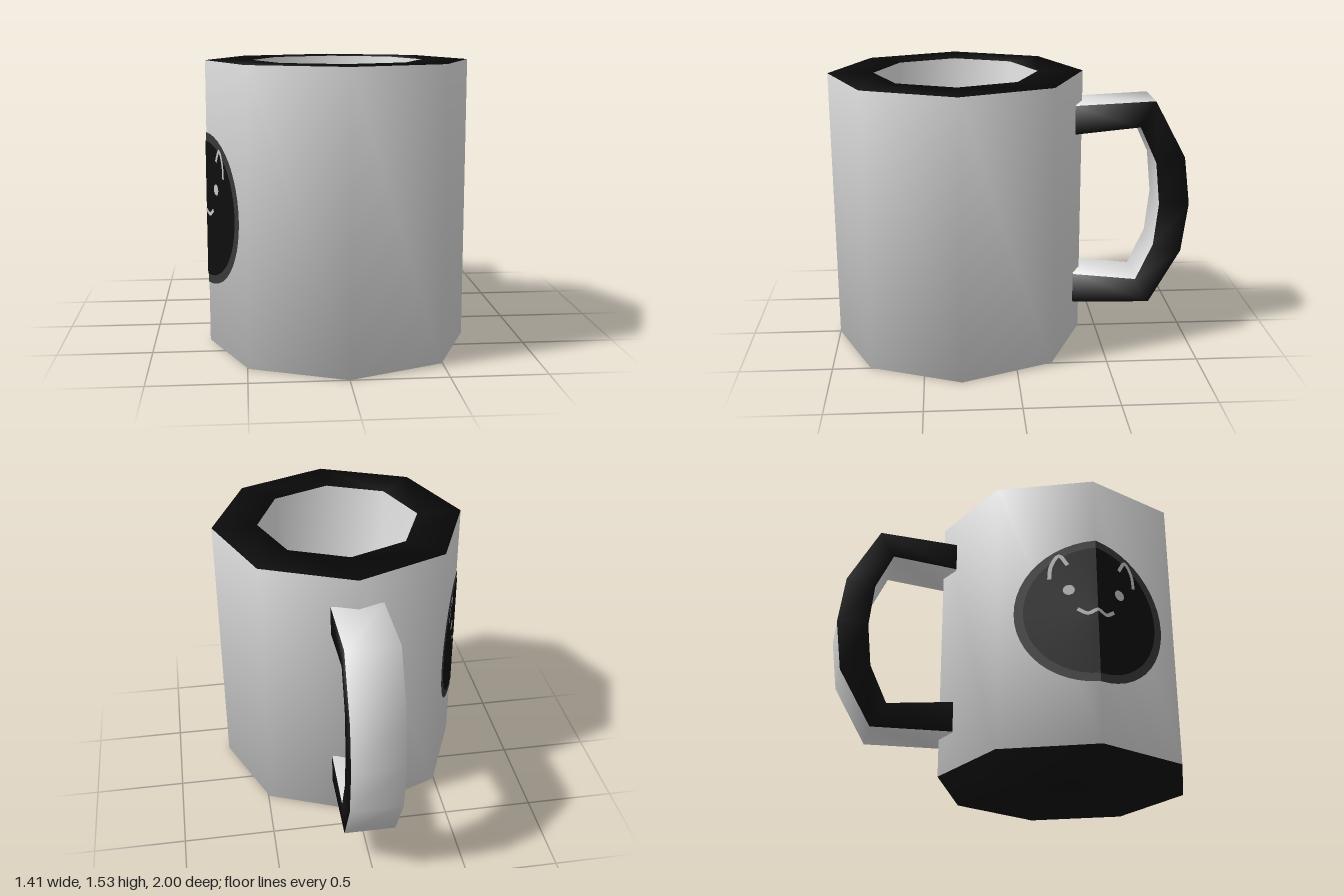
import * as THREE from 'three';

const HEIGHT = 1.53, RADIUS = 0.7, CENTRE_Z = 0.3;

const named = (hex, name) => {
  const m = new THREE.MeshStandardMaterial({ color: hex });
  m.name = name;
  return m;
};

function addMesh(parent, geometry, material, name) {
  const mesh = new THREE.Mesh(geometry, material);
  mesh.name = name;
  parent.add(mesh);
  return mesh;
}

// Eight-sided cup: black base and rim, pale walls and inside
function cupGeometry() {
  const profile = [[0, 0], [RADIUS, 0], [RADIUS, HEIGHT], [0.45, HEIGHT], [0.45, 0.22], [0, 0.22]]
    .map(([x, y]) => new THREE.Vector2(x, y));
  const g = new THREE.LatheGeometry(profile, 8);
  const bands = profile.length - 1;
  for (let i = 0; i < 8 * bands; i++) {
    const band = i % bands;
    g.addGroup(i * 6, 6, band === 0 || band === 2 ? 1 : 0);
  }
  return g;
}

// Angular handle lofted from rectangular sections, with black flanks
function handleGeometry() {
  // outer z, outer y, inner z, inner y
  const sections = [
    [-0.35, 1.36, -0.35, 1.20], [-0.79, 1.38, -0.71, 1.235], [-0.965, 1.06, -0.805, 1.03],
    [-1, 0.79, -0.83, 0.79], [-0.965, 0.51, -0.805, 0.55], [-0.79, 0.20, -0.71, 0.34],
    [-0.35, 0.21, -0.35, 0.38],
  ];
  const w = 0.14, pos = [], index = [];
  const g = new THREE.BufferGeometry();
  for (const [oz, oy, iz, iy] of sections) pos.push(-w, oy, oz, w, oy, oz, w, iy, iz, -w, iy, iz);
  for (let s = 0; s < sections.length - 1; s++) {
    for (let k = 0; k < 4; k++) {
      const a = s * 4 + k, b = s * 4 + (k + 1) % 4, c = b + 4, d = a + 4;
      g.addGroup(index.length, 6, k % 2);
      index.push(a, b, c, a, c, d);
    }
  }
  // end caps against the wall
  const e = (sections.length - 1) * 4;
  g.addGroup(index.length, 12, 1);
  index.push(0, 2, 1, 0, 3, 2, e, e + 1, e + 2, e, e + 2, e + 3);
  g.setAttribute('position', new THREE.Float32BufferAttribute(pos, 3));
  g.setIndex(index);
  g.computeVertexNormals();
  return g;
}

// Fold a flat shape around the cup's side corner
function wrap(g, offset) {
  const p = g.attributes.position;
  for (let i = 0; i < p.count; i++) {
    const u = p.getX(i), v = p.getY(i);
    p.setXYZ(i, -RADIUS - offset + 0.414 * Math.abs(u), v, CENTRE_Z + u);
  }
  g.computeVertexNormals();
  return g;
}

// Flat painted stroke through a few points
function stroke(points, width) {
  const curve = new THREE.CatmullRomCurve3(points.map(([u, v]) => new THREE.Vector3(u, v, 0)));
  const n = 12, g = new THREE.PlaneGeometry(1, 1, n, 1), p = g.attributes.position;
  for (let i = 0; i <= n; i++) {
    const c = curve.getPoint(i / n), t = curve.getTangent(i / n);
    for (const [row, side] of [[0, 1], [1, -1]]) {
      const k = side * width / 2;
      p.setXY(row * (n + 1) + i, c.x - t.y * k, c.y + t.x * k);
    }
  }
  return g;
}

export function createModel() {
  const white = named(0xdcdcdc, 'pale glaze');
  const black = named(0x0e0e0e, 'black');
  const grey = named(0x383838, 'dark grey');
  const paint = named(0xc4c4c4, 'face paint');
  paint.side = THREE.DoubleSide;

  const mug = new THREE.Group();
  mug.name = 'mug';
  addMesh(mug, cupGeometry(), [white, black], 'cup').position.z = CENTRE_Z;
  addMesh(mug, handleGeometry(), [white, black], 'handle');

  // Round painted face on the side
  const face = new THREE.Group();
  face.name = 'paintedFace';
  mug.add(face);
  const faceY = 0.74;
  for (const side of [-1, 1]) {
    const half = (r) => new THREE.CircleGeometry(r, 24, side > 0 ? -Math.PI / 2 : Math.PI / 2, Math.PI)
      .translate(0, faceY, 0);
    addMesh(face, wrap(half(0.41), 0.003), grey, 'faceBorder');
    addMesh(face, wrap(half(0.365), 0.006), black, 'faceDisc');
    const eye = new THREE.CircleGeometry(0.03, 12).translate(side * 0.14, 0.86, 0);
    addMesh(face, wrap(eye, 0.009), paint, 'eye');
    const ear = [[0.235, 0.93], [0.225, 1.01], [0.185, 1.07], [0.143, 1.01]].map(([u, v]) => [side * u, v]);
    addMesh(face, wrap(stroke(ear, 0.02), 0.009), paint, 'ear');
  }
  const smile = [[-0.1, 0.745], [-0.05, 0.715], [0, 0.735], [0.05, 0.715], [0.1, 0.745]];
  addMesh(face, wrap(stroke(smile, 0.02), 0.009), paint, 'mouth');
  return mug;
}
